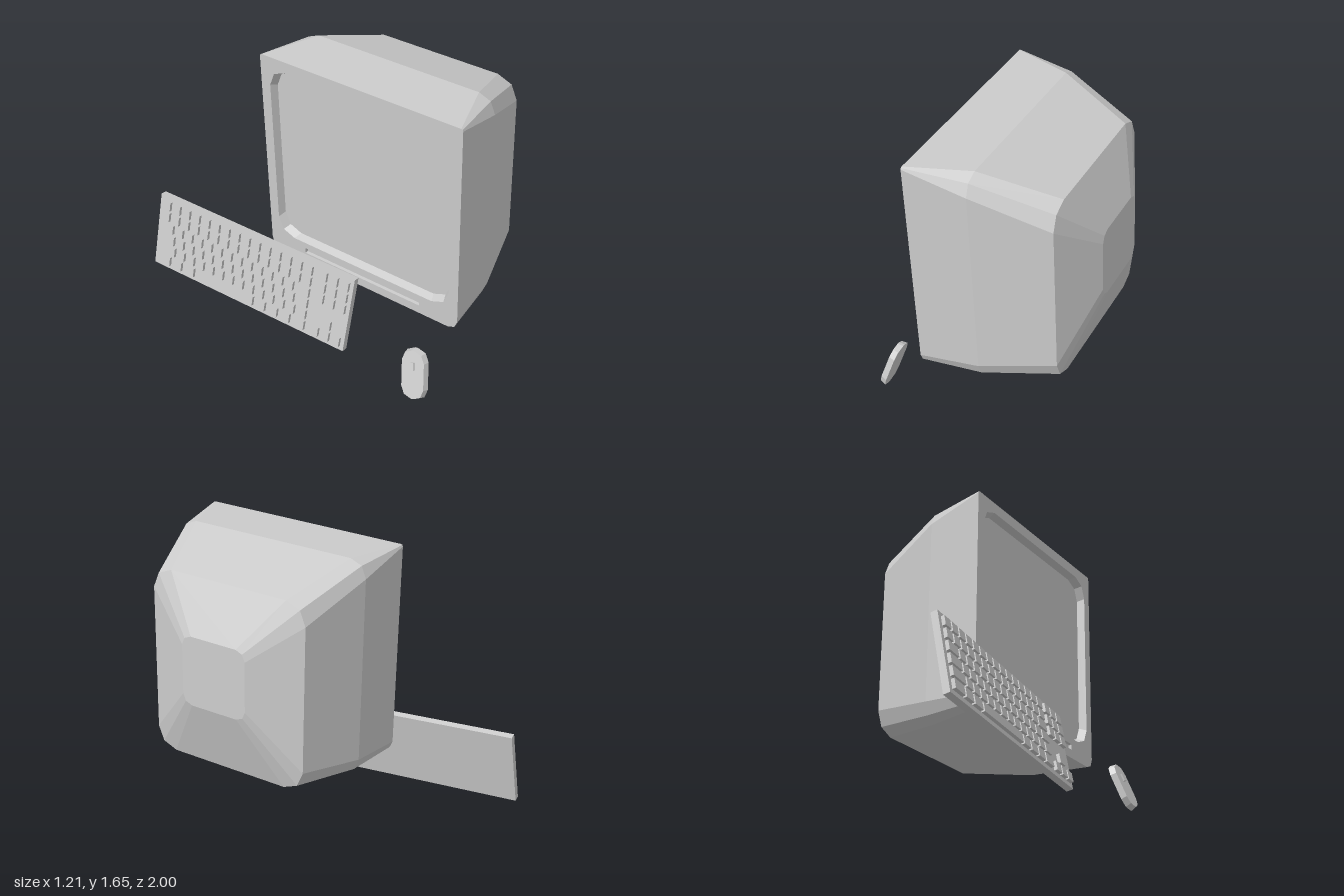
import * as THREE from 'three';

const material = new THREE.MeshStandardMaterial({ color: 0xcccccc, flatShading: true });

function addMesh(parent, name, geometry, x = 0, y = 0, z = 0) {
  const mesh = new THREE.Mesh(geometry, material);
  mesh.name = name;
  mesh.position.set(x, y, z);
  parent.add(mesh);
  return mesh;
}

// Group whose local x runs along the part, y up the part, z out of its face
function orientedGroup(name, along, up, position) {
  const X = new THREE.Vector3(...along).normalize();
  const Z = X.clone().cross(new THREE.Vector3(...up)).normalize();
  const Y = Z.clone().cross(X);
  const group = new THREE.Group();
  group.name = name;
  group.quaternion.setFromRotationMatrix(new THREE.Matrix4().makeBasis(X, Y, Z));
  group.position.set(...position);
  return group;
}

// Rounded rectangle, counter-clockwise, three points per corner
function ring({ w, h, cy = 0, z = 0, top, bottom = top }) {
  const points = [];
  [[1, 1], [-1, 1], [-1, -1], [1, -1]].forEach(([sx, sy], corner) => {
    const r = sy > 0 ? top : bottom;
    for (let k = 0; k < 3; k++) {
      const a = (corner + k / 2) * Math.PI / 2;
      points.push(new THREE.Vector3(
        sx * (w - r) + r * Math.cos(a), cy + sy * (h - r) + r * Math.sin(a), z));
    }
  });
  return points;
}

// Skin between successive rings, optionally facing inward or closed at the end
function loft(rings, inward = false, capped = false) {
  const p = [];
  const tri = (a, b, c) => (inward ? [a, c, b] : [a, b, c]).forEach(v => p.push(v.x, v.y, v.z));
  const n = rings[0].length;
  for (let s = 0; s + 1 < rings.length; s++) {
    const [A, B] = [rings[s], rings[s + 1]];
    for (let i = 0; i < n; i++) {
      const j = (i + 1) % n;
      tri(A[i], B[i], B[j]);
      tri(A[i], B[j], A[j]);
    }
  }
  const last = rings[rings.length - 1];
  if (capped) for (let i = 1; i + 1 < n; i++) tri(last[0], last[i + 1], last[i]);
  const geometry = new THREE.BufferGeometry();
  geometry.setAttribute('position', new THREE.Float32BufferAttribute(p, 3));
  geometry.computeVertexNormals();
  return geometry;
}

const flat = (points) => points.map(v => new THREE.Vector2(v.x, v.y));

function buildMonitor() {
  const monitor = orientedGroup('monitor', [0, 0.009, 1], [-0.031, 1, -0.009], [-0.3, 0.998, 0.342]);

  // Tapering housing
  const sections = [
    { w: 0.65, h: 0.65, z: 0, top: 0.012, bottom: 0.06 },
    { w: 0.62, h: 0.655, cy: -0.01, z: -0.345, top: 0.1 },
    { w: 0.505, h: 0.565, cy: -0.06, z: -0.76, top: 0.125 },
    { w: 0.21, h: 0.21, z: -0.895, top: 0.06 },
  ].map(ring);
  addMesh(monitor, 'housing', loft(sections, false, true));

  // Front frame with two recesses
  const frame = new THREE.Shape(flat(sections[0]));
  const recesses = [
    { name: 'screen', w: 0.59, h: 0.555, cy: 0.03, r: 0.11, depth: 0.045, taper: 0.015 },
    { name: 'slot', w: 0.4, h: 0.017, cy: -0.58, r: 0.004, depth: 0.02, taper: 0 },
  ];
  for (const { name, w, h, cy, r, depth, taper } of recesses) {
    const outer = ring({ w, h, cy, top: r });
    const inner = ring({ w: w - taper, h: h - taper, cy, z: -depth, top: r });
    frame.holes.push(new THREE.Path(flat(outer)));
    addMesh(monitor, name + 'Rim', loft([outer, inner], true));
    addMesh(monitor, name, new THREE.ShapeGeometry(new THREE.Shape(flat(inner))), 0, 0, -depth);
  }
  addMesh(monitor, 'frontFrame', new THREE.ShapeGeometry(frame));
  return monitor;
}

function buildKeyboard() {
  // Origin at the lower corner of the back face, on the arrow-key end
  const keyboard = orientedGroup('keyboard', [0.11, -0.07, 1.37], [0.09, 0.465, 0.015], [-0.446, 0.005, 0.37]);
  const length = 1.376, height = 0.475, thick = 0.04, pitch = 0.073;
  addMesh(keyboard, 'keyboardBase', new THREE.BoxGeometry(length, height, thick), -length / 2, height / 2, thick / 2);

  const key = (x0, x1, row) => addMesh(keyboard, 'key',
    new THREE.BoxGeometry(x1 - x0 - 0.014, 0.056, 0.022),
    (x0 + x1) / 2, 0.055 + row * pitch, thick + 0.009);

  // Staggered main block; the first and last keys of each row fill the ends
  const left = -length + 0.02, right = left + 15 * pitch;
  [null, 1.9, 1.7, 1.5, 1, 1].forEach((first, row) => {
    if (first === null) return;
    let x = left, end = left + first * pitch;
    while (end < right - 0.01) {
      key(x, end, row);
      x = end;
      end += pitch;
      if (right - end < 0.6 * pitch) end = right;
    }
    key(x, right, row);
  });
  // Bottom row with the space bar
  const bottom = [0, 1.5, 2.7, 4, 10, 11.2, 12.4, 13.6, 15];
  for (let i = 0; i + 1 < bottom.length; i++) key(left + bottom[i] * pitch, left + bottom[i + 1] * pitch, 0);

  // Navigation block and arrow keys
  const nav = right + 0.025;
  for (let col = 0; col < 3; col++) {
    for (const row of [0, 3, 4, 5]) key(nav + col * pitch, nav + (col + 1) * pitch, row);
  }
  key(nav + pitch, nav + 2 * pitch, 1);
  return keyboard;
}

function buildMouse() {
  const mouse = orientedGroup('mouse', [0.068, 0.196, 0.978], [0.294, 0.934, -0.208], [-0.533, 0.168, 0.9]);
  const body = [
    { w: 0.07, h: 0.138, z: 0.018, top: 0.062 },
    { w: 0.078, h: 0.146, z: -0.018, top: 0.068 },
  ].map(ring);
  addMesh(mouse, 'mouseBody', loft(body, false, true));
  addMesh(mouse, 'mouseTop', new THREE.ShapeGeometry(new THREE.Shape(flat(body[0]))), 0, 0, 0.018);
  addMesh(mouse, 'mouseWheel', new THREE.BoxGeometry(0.022, 0.045, 0.016), 0, 0.05, 0.02);
  return mouse;
}

export function createModel() {
  const model = new THREE.Group();
  model.name = 'desktopComputer';
  model.add(buildMonitor(), buildKeyboard(), buildMouse());
  return model;
}
